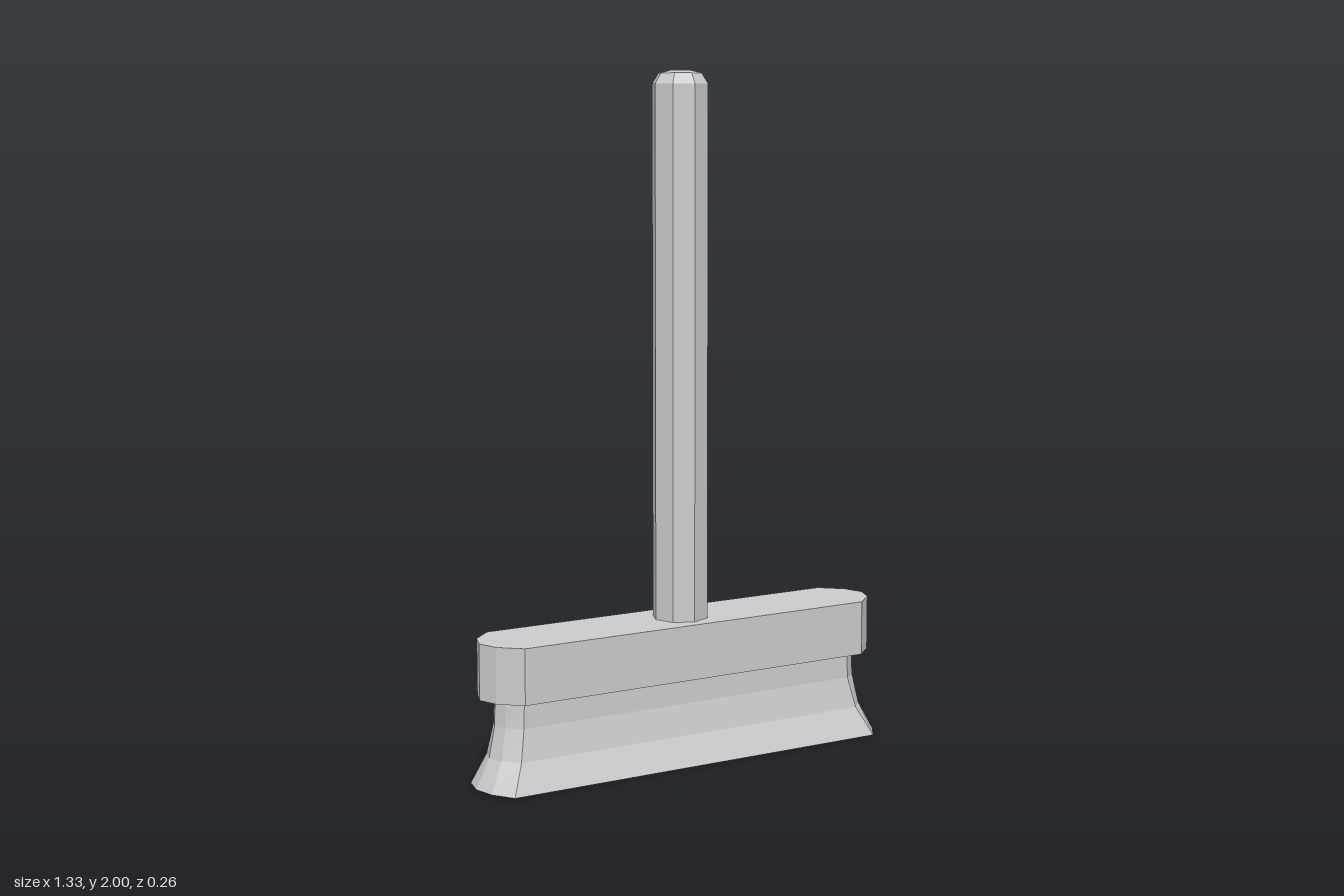
import * as THREE from 'three';

const material = new THREE.MeshStandardMaterial({ color: 0xcccccc, flatShading: true });

// Long bar outline with faceted ends: corner x, end x, half depth
function outline(corner, end, depth) {
  const mid = corner + (end - corner) * 0.73;
  const half = [[corner, depth], [mid, depth * 0.52], [end, 0], [mid, -depth * 0.52], [corner, -depth]];
  return [...half, ...half.map(([x, z]) => [-x, -z])];
}

// Closed solid through rings { y, points }, listed from bottom to top
function loft(rings) {
  const n = rings[0].points.length;
  const positions = [];
  const index = [];
  for (const { y, points } of rings) for (const [x, z] of points) positions.push(x, y, z);
  for (let r = 0; r < rings.length - 1; r++) {
    for (let i = 0; i < n; i++) {
      const a = r * n + i, b = r * n + (i + 1) % n;
      index.push(a, b, b + n, a, b + n, a + n);
    }
  }
  const top = (rings.length - 1) * n;
  for (let i = 1; i < n - 1; i++) {
    index.push(0, i + 1, i);
    index.push(top, top + i, top + i + 1);
  }
  const geometry = new THREE.BufferGeometry();
  geometry.setAttribute('position', new THREE.Float32BufferAttribute(positions, 3));
  geometry.setIndex(index);
  const flat = geometry.toNonIndexed();
  flat.computeVertexNormals();
  return flat;
}

export function createModel() {
  const group = new THREE.Group();
  const add = (name, geometry) => {
    const mesh = new THREE.Mesh(geometry, material);
    mesh.name = name;
    group.add(mesh);
  };

  // Bristles flare out towards the floor: [y, corner x, end x, half depth]
  const flare = [
    [0, 0.61, 0.667, 0.128],
    [0.085, 0.57, 0.626, 0.09],
    [0.175, 0.552, 0.608, 0.072],
    [0.255, 0.549, 0.605, 0.07],
  ];
  add('bristles', loft(flare.map(([y, ...size]) => ({ y, points: outline(...size) }))));

  // Head block that holds the bristles
  add('headBlock', loft([0.255, 0.417].map((y) => ({ y, points: outline(0.57, 0.653, 0.117) }))));

  // Eight-sided handle with a low domed tip
  const profile = [[0, 0.4], [0.082, 0.4], [0.082, 1.96], [0.063, 1.99], [0.03, 1.998], [0, 2]]
    .map(([x, y]) => new THREE.Vector2(x, y));
  add('handle', new THREE.LatheGeometry(profile, 8));

  return group;
}
